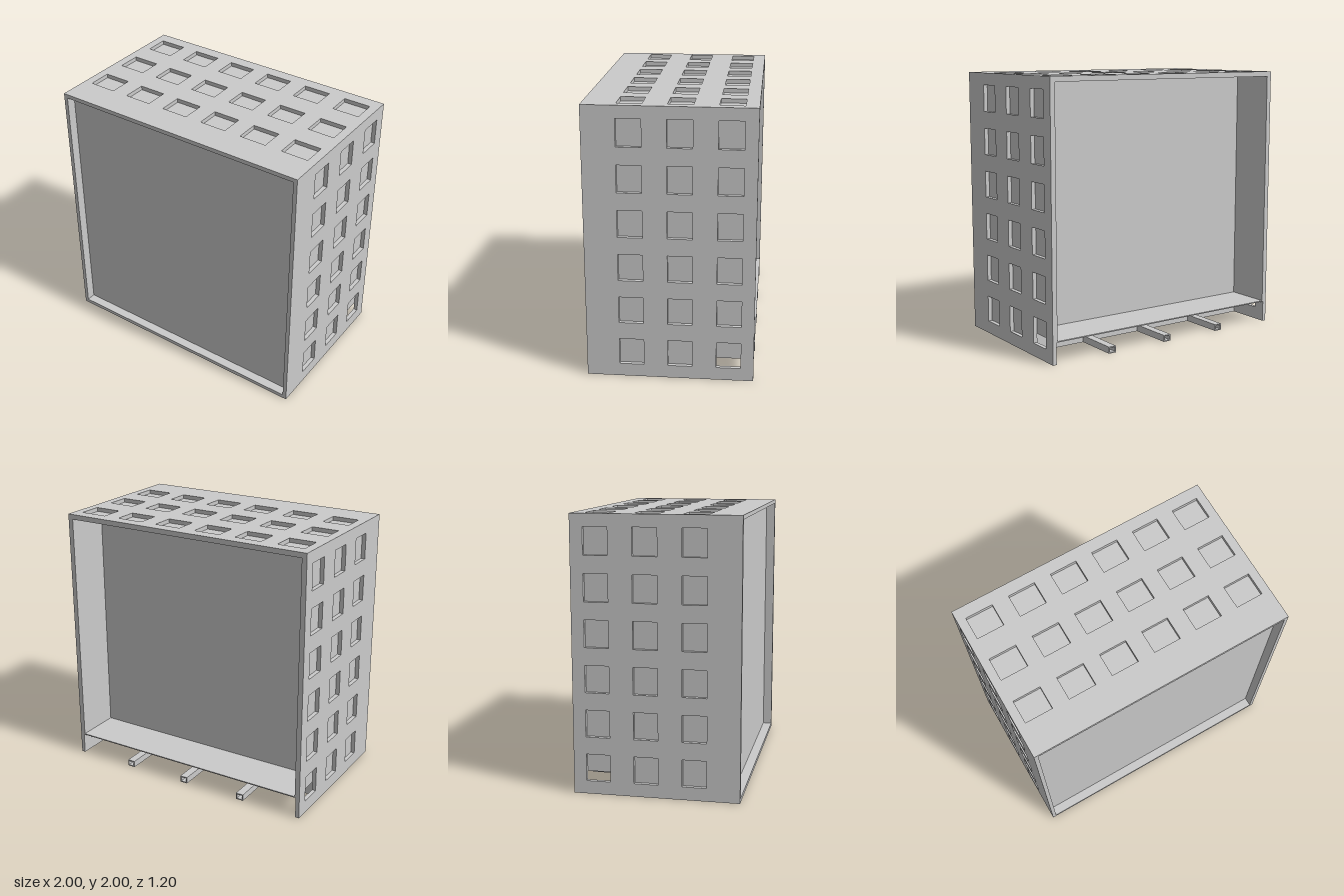
import * as THREE from 'three';

const T = 0.03;            // shell thickness
const FRONT = 0.6, BACK = -0.6;
const PANEL_Z = -0.255;    // rear face of the solid core
const ROWS = [0.275, -0.0725, -0.42]; // window rows along z

export function createModel() {
  const model = new THREE.Group();
  const material = new THREE.MeshStandardMaterial({ color: 0xcccccc, flatShading: true });

  function add(name, geometry, x = 0, y = 0, z = 0) {
    const mesh = new THREE.Mesh(geometry, material);
    mesh.name = name;
    mesh.position.set(x, y, z);
    model.add(mesh);
    return mesh;
  }

  // Box given by its minimum and maximum corners
  function block(name, a, b) {
    const size = b.map((v, i) => v - a[i]);
    const mid = b.map((v, i) => (v + a[i]) / 2);
    return add(name, new THREE.BoxGeometry(...size), ...mid);
  }

  function rect(target, u0, v0, u1, v1) {
    target.moveTo(u0, v0);
    target.lineTo(u1, v0);
    target.lineTo(u1, v1);
    target.lineTo(u0, v1);
    target.closePath();
    return target;
  }

  // Horizontal plate (top face at y = 0) pierced by rows of six windows
  function windowPlate(halfLength, backZ, rows, pitch, offset, w, h) {
    const shape = rect(new THREE.Shape(), -halfLength, backZ, halfLength, FRONT);
    for (const z of rows) {
      for (let i = 0; i < 6; i++) {
        const u = (i - 2.5) * pitch + offset;
        shape.holes.push(rect(new THREE.Path(), u - w / 2, z - h / 2, u + w / 2, z + h / 2));
      }
    }
    return new THREE.ExtrudeGeometry(shape, { depth: T, bevelEnabled: false }).rotateX(Math.PI / 2);
  }

  // Outer shell
  const inner = 1 - T;
  add('topPanel', windowPlate(inner, BACK, ROWS, 0.333, 0, 0.205, 0.175), 0, 2, 0);
  add('bottomPanel', windowPlate(inner, PANEL_Z, ROWS.slice(0, 2), 0.333, 0, 0.205, 0.175), 0, T, 0);
  const side = windowPlate(1, BACK, ROWS, 0.3235, 0.003, 0.197, 0.175).rotateZ(Math.PI / 2);
  add('leftPanel', side, inner, 1, 0);
  add('rightPanel', side, -1, 1, 0);

  // Core behind the windows, set back from the front rim
  block('core', [-inner, T, PANEL_Z], [inner, 2 - T, 0.53]);

  // Lining and raised floor of the open rear compartment
  const L = 0.008, floorY = 0.16;
  block('rearFloor', [-inner, floorY, BACK], [inner, floorY + L, PANEL_Z]);
  block('rearCeiling', [-inner, 2 - T - L, BACK], [inner, 2 - T, PANEL_Z]);
  for (const s of [-1, 1]) {
    const xs = [s * inner, s * (inner - L)].sort((a, b) => a - b);
    block('rearLining', [xs[0], floorY, BACK], [xs[1], 2 - T, PANEL_Z]);
  }

  // Three hollow rails under the rear floor
  const railShape = rect(new THREE.Shape(), -0.03, 0, 0.03, 0.05);
  railShape.holes.push(rect(new THREE.Path(), -0.022, 0.008, 0.022, 0.042));
  const rail = new THREE.ExtrudeGeometry(railShape, { depth: PANEL_Z - BACK, bevelEnabled: false });
  for (const x of [-0.5, 0, 0.5]) add('rail', rail, x, 0, BACK);

  return model;
}
